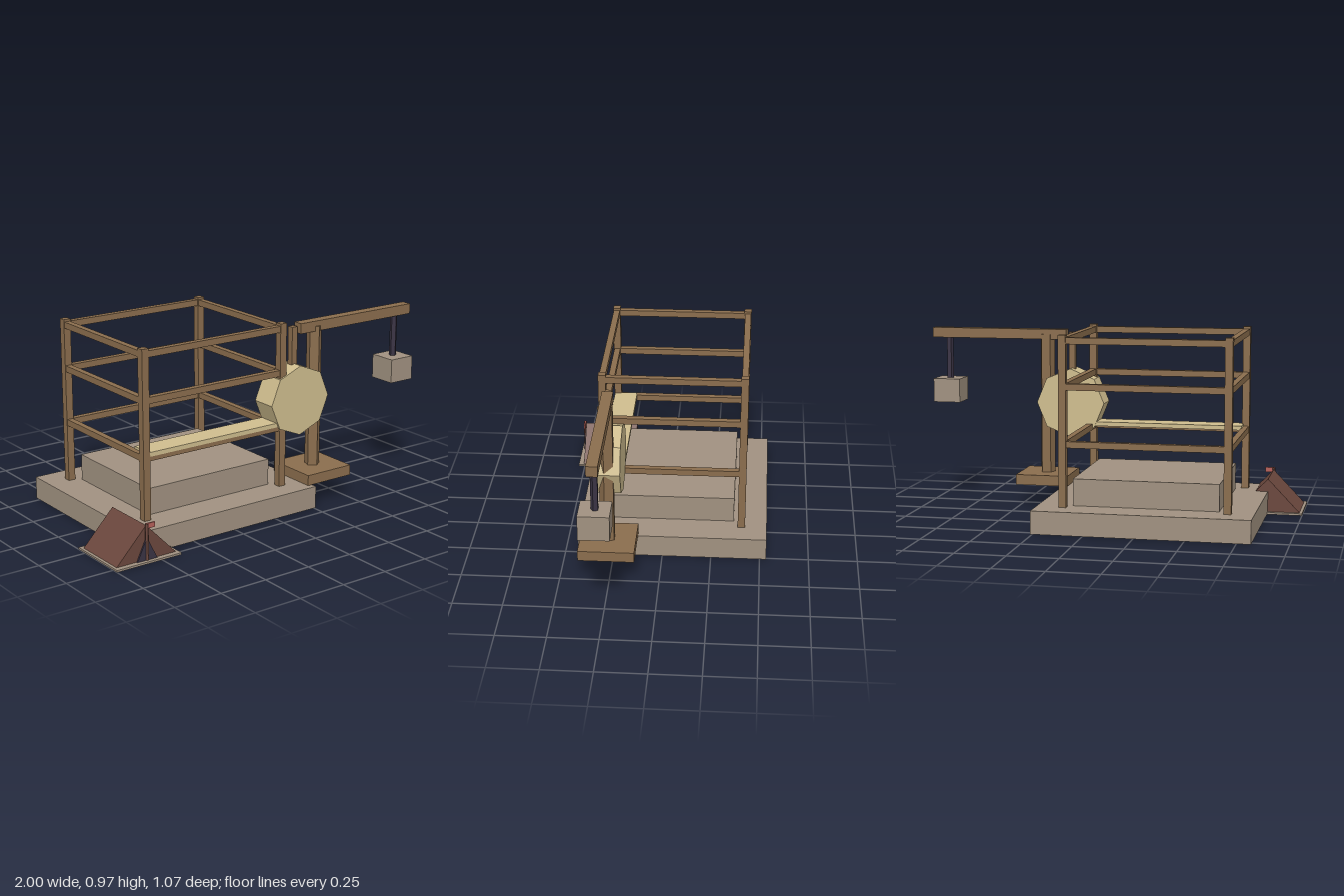
import * as THREE from 'three';

const mat = (color) => new THREE.MeshStandardMaterial({ color, flatShading: true });

export function createModel() {
  const model = new THREE.Group();
  const wood = mat(0x8a6d4d), stone = mat(0xa09180), pale = mat(0xcfbd8e);
  const dark = mat(0x3a3344), cloth = mat(0x6b473d), red = mat(0xb5605a);

  const add = (name, geometry, material, parent = model) => {
    const mesh = new THREE.Mesh(geometry, material);
    mesh.name = name;
    parent.add(mesh);
    return mesh;
  };
  // Box given by its min and max on each axis
  const box = (name, material, [x0, x1], [y0, y1], [z0, z1], parent) => {
    const mesh = add(name, new THREE.BoxGeometry(x1 - x0, y1 - y0, z1 - z0), material, parent);
    mesh.position.set((x0 + x1) / 2, (y0 + y1) / 2, (z0 + z1) / 2);
    return mesh;
  };
  // Upright five-sided pole
  const pole = (name, material, r, x, z, y0, y1, parent) => {
    const mesh = add(name, new THREE.CylinderGeometry(r, r, y1 - y0, 5), material, parent);
    mesh.position.set(x, (y0 + y1) / 2, z);
    return mesh;
  };
  // Triangular prism lying along z
  const prism = (name, material, x, halfWidth, y0, y1, z0, z1, parent) => {
    const shape = new THREE.Shape([
      new THREE.Vector2(-halfWidth, y0), new THREE.Vector2(halfWidth, y0), new THREE.Vector2(0, y1),
    ]);
    const geometry = new THREE.ExtrudeGeometry(shape, { depth: z1 - z0, bevelEnabled: false });
    const mesh = add(name, geometry, material, parent);
    mesh.position.set(x, 0, z0);
    return mesh;
  };

  // Stepped stone foundation
  box('foundationSlab', stone, [-0.82, 0.26], [0, 0.116], [-0.533, 0.433]);
  box('foundationStep', stone, [-0.645, 0.085], [0.116, 0.251], [-0.362, 0.262]);

  // Scaffold: four posts, three rings of rails
  const scaffold = new THREE.Group();
  scaffold.name = 'scaffold';
  model.add(scaffold);
  const xs = [-0.691, 0.126], zs = [-0.402, 0.305], p = 0.019, r = 0.016;
  for (const x of xs) for (const z of zs)
    box('post', wood, [x - p, x + p], [0.116, 0.967], [z - p, z + p], scaffold);
  for (const y of [0.429, 0.713, 0.939]) {
    for (const z of zs) box('longRail', wood, xs, [y - r, y + r], [z - r, z + r], scaffold);
    for (const x of xs) box('sideRail', wood, [x - r, x + r], [y - r, y + r], zs, scaffold);
  }
  box('walkway', pale, [-0.68, 0.115], [0.435, 0.457], [0.2, 0.322], scaffold);

  // Crane: foot, mast, arm, tread wheel and hanging load
  const crane = new THREE.Group();
  crane.name = 'crane';
  model.add(crane);
  box('craneFoot', wood, [0.231, 0.511], [0.118, 0.172], [0.123, 0.406], crane);
  pole('mast', wood, 0.04, 0.371, 0.264, 0.165, 0.912, crane);
  box('arm', wood, [0.262, 1], [0.886, 0.939], [0.237, 0.292], crane);
  const wheel = add('treadWheel', new THREE.CylinderGeometry(0.1815, 0.1815, 0.136, 8), pale, crane);
  wheel.rotation.x = Math.PI / 2;
  wheel.position.set(0.23, 0.554, 0.265);
  box('wheelHanger', wood, [0.215, 0.248], [0.56, 0.925], [0.247, 0.281], crane);
  pole('rope', dark, 0.019, 0.913, 0.264, 0.66, 0.89, crane);
  box('stoneLoad', stone, [0.839, 0.984], [0.541, 0.667], [0.191, 0.34], crane);

  // Tent on its ground sheet
  const tent = new THREE.Group();
  tent.name = 'tent';
  model.add(tent);
  box('groundSheet', stone, [-1, -0.64], [0, 0.01], [0.19, 0.533], tent);
  prism('tentBody', cloth, -0.82, 0.165, 0.01, 0.182, 0.213, 0.505, tent);
  prism('tentDoor', dark, -0.82, 0.055, 0.01, 0.125, 0.5, 0.513, tent);
  pole('flagPole', cloth, 0.009, -0.82, 0.511, 0.01, 0.192, tent);
  box('flag', red, [-0.825, -0.776], [0.168, 0.193], [0.507, 0.515], tent);

  return model;
}
